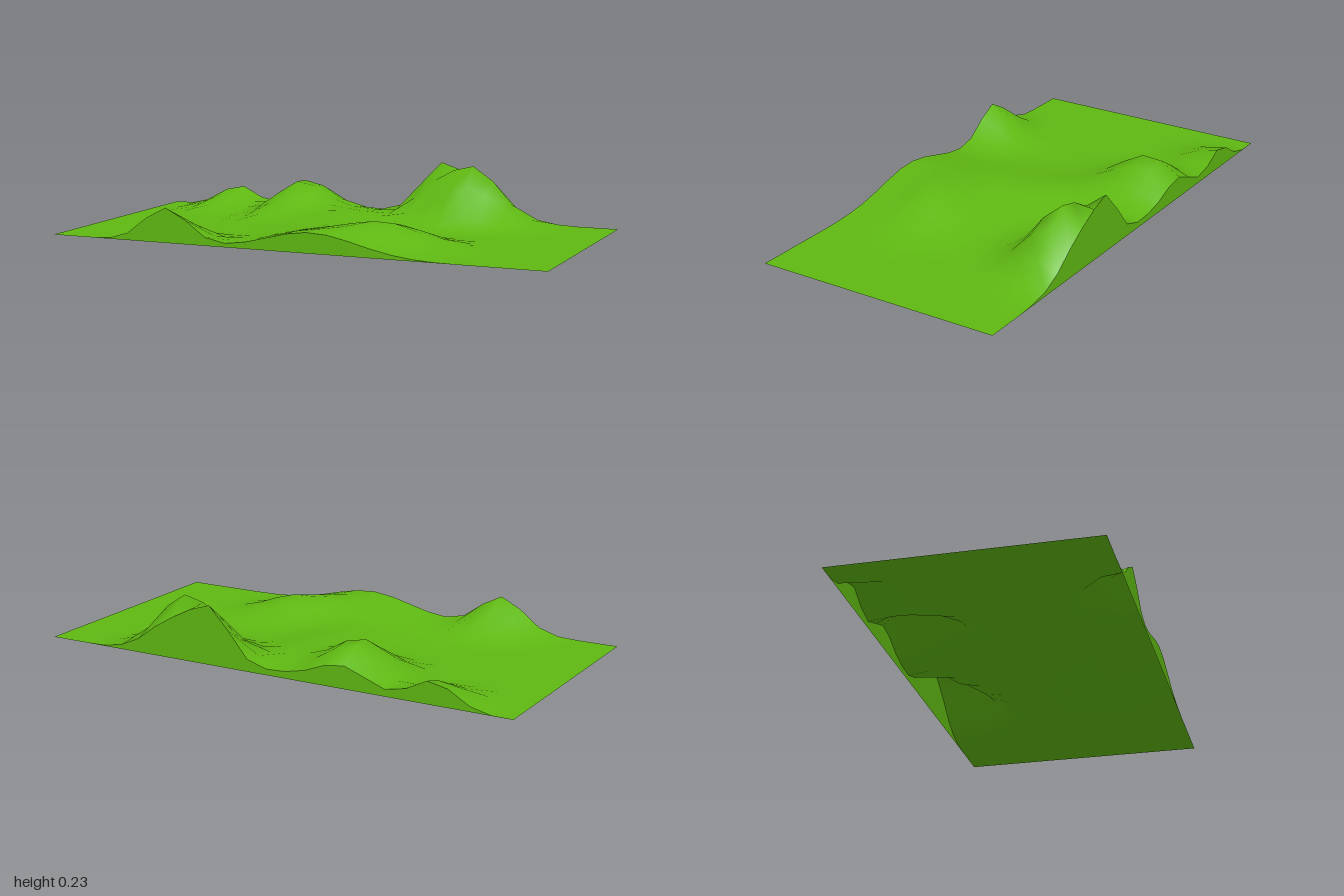
import * as THREE from 'three';

const WIDTH = 2, DEPTH = 1, COLS = 24, ROWS = 12;

// Rounded hills: [x, z, height, spread along x, spread along z]
const HILLS = [
  [0.24, -0.52, 0.2, 0.12, 0.13],    // tall hill, back peak
  [0.42, -0.41, 0.218, 0.15, 0.135], // tall hill, inner peak
  [0.58, -0.4, 0.02, 0.15, 0.15],    // foot of the tall hill
  [-0.32, -0.37, 0.147, 0.15, 0.18], // middle hill
  [-0.69, -0.5, 0.09, 0.12, 0.16],   // small back hill
  [-0.5, 0.5, 0.136, 0.135, 0.14],   // front hill
  [0.1, 0.5, 0.077, 0.25, 0.3],      // long front ridge
  [0.32, 0.23, 0.077, 0.2, 0.15],    // inner end of the ridge
  [-0.05, -0.15, 0.058, 0.2, 0.35],  // low saddle between the hills
];

function heightAt(x, z) {
  let h = 0;
  for (const [cx, cz, top, rx, rz] of HILLS) {
    h += top * Math.exp(-(((x - cx) / rx) ** 2) - ((z - cz) / rz) ** 2);
  }
  // fade out to flat ground at the two short ends
  const fade = THREE.MathUtils.smoothstep(1 - Math.abs(x), 0, 0.17);
  return Math.max(0, h - 0.001) * fade;
}

export function createModel() {
  const model = new THREE.Group();
  model.name = 'hillyGround';
  const grass = new THREE.MeshStandardMaterial({ color: 0x5fb812, side: THREE.DoubleSide });

  const addPart = (name, geometry) => {
    geometry.computeVertexNormals();
    const mesh = new THREE.Mesh(geometry, grass);
    mesh.name = name;
    model.add(mesh);
  };

  // Rolling top surface
  const ground = new THREE.PlaneGeometry(WIDTH, DEPTH, COLS, ROWS).rotateX(-Math.PI / 2);
  const p = ground.attributes.position;
  for (let i = 0; i < p.count; i++) p.setY(i, heightAt(p.getX(i), p.getZ(i)));
  addPart('groundSurface', ground);

  // Upright walls closing the long edges down to the base
  for (const side of [1, -1]) {
    const wall = new THREE.PlaneGeometry(WIDTH, 1, COLS, 1);
    if (side < 0) wall.rotateY(Math.PI);
    const w = wall.attributes.position;
    for (let i = 0; i < w.count; i++) {
      const x = w.getX(i), z = (side * DEPTH) / 2;
      w.setXYZ(i, x, w.getY(i) > 0 ? heightAt(x, z) : 0, z);
    }
    addPart(side > 0 ? 'frontWall' : 'backWall', wall);
  }

  return model;
}
